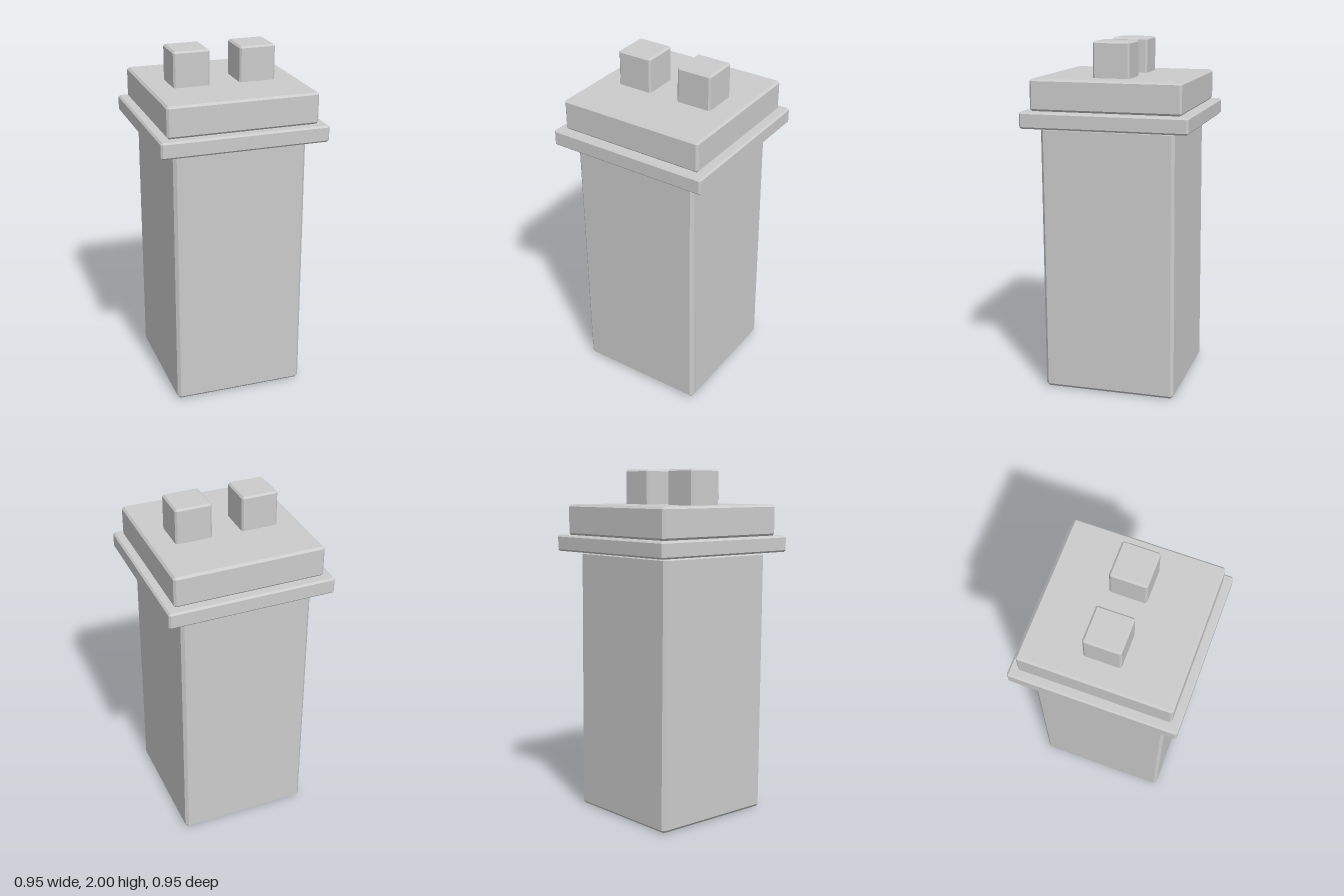
import * as THREE from 'three';
import { ConvexGeometry } from 'three/addons/geometries/ConvexGeometry.js';

const material = new THREE.MeshStandardMaterial({ color: 0xcccccc, flatShading: true });

// Box with every edge and corner chamfered, spanning y0..y1
function chamferedBox(name, halfX, halfZ, y0, y1, chamfer, x = 0, z = 0) {
  const half = [halfX, (y1 - y0) / 2, halfZ];
  const points = [];
  for (const sx of [-1, 1]) for (const sy of [-1, 1]) for (const sz of [-1, 1]) {
    // each corner becomes three points, one on each adjoining face
    for (let face = 0; face < 3; face++) {
      const [px, py, pz] = half.map((h, axis) => (axis === face ? h : h - chamfer));
      points.push(new THREE.Vector3(sx * px, sy * py, sz * pz));
    }
  }
  const mesh = new THREE.Mesh(new ConvexGeometry(points), material);
  mesh.name = name;
  mesh.position.set(x, (y0 + y1) / 2, z);
  return mesh;
}

export function createModel() {
  const group = new THREE.Group();
  group.name = 'batteryCell';

  // Tall body, leaning very slightly
  const body = chamferedBox('body', 0.379, 0.382, 0, 1.53, 0.017);
  body.geometry.applyMatrix4(new THREE.Matrix4().set(
    1, -0.004, 0, -0.002,
    0, 1, 0, 0,
    0, 0.007, 1, 0,
    0, 0, 0, 1));
  group.add(body);

  // Flange and lid
  group.add(chamferedBox('flange', 0.474, 0.473, 1.53, 1.623, 0.01));
  group.add(chamferedBox('lid', 0.427, 0.427, 1.623, 1.8, 0.012));

  // Two terminals
  for (const side of [-1, 1]) {
    group.add(chamferedBox(side < 0 ? 'rightTerminal' : 'leftTerminal',
      0.104, 0.104, 1.785, 2, 0.01, side * 0.19));
  }
  return group;
}
